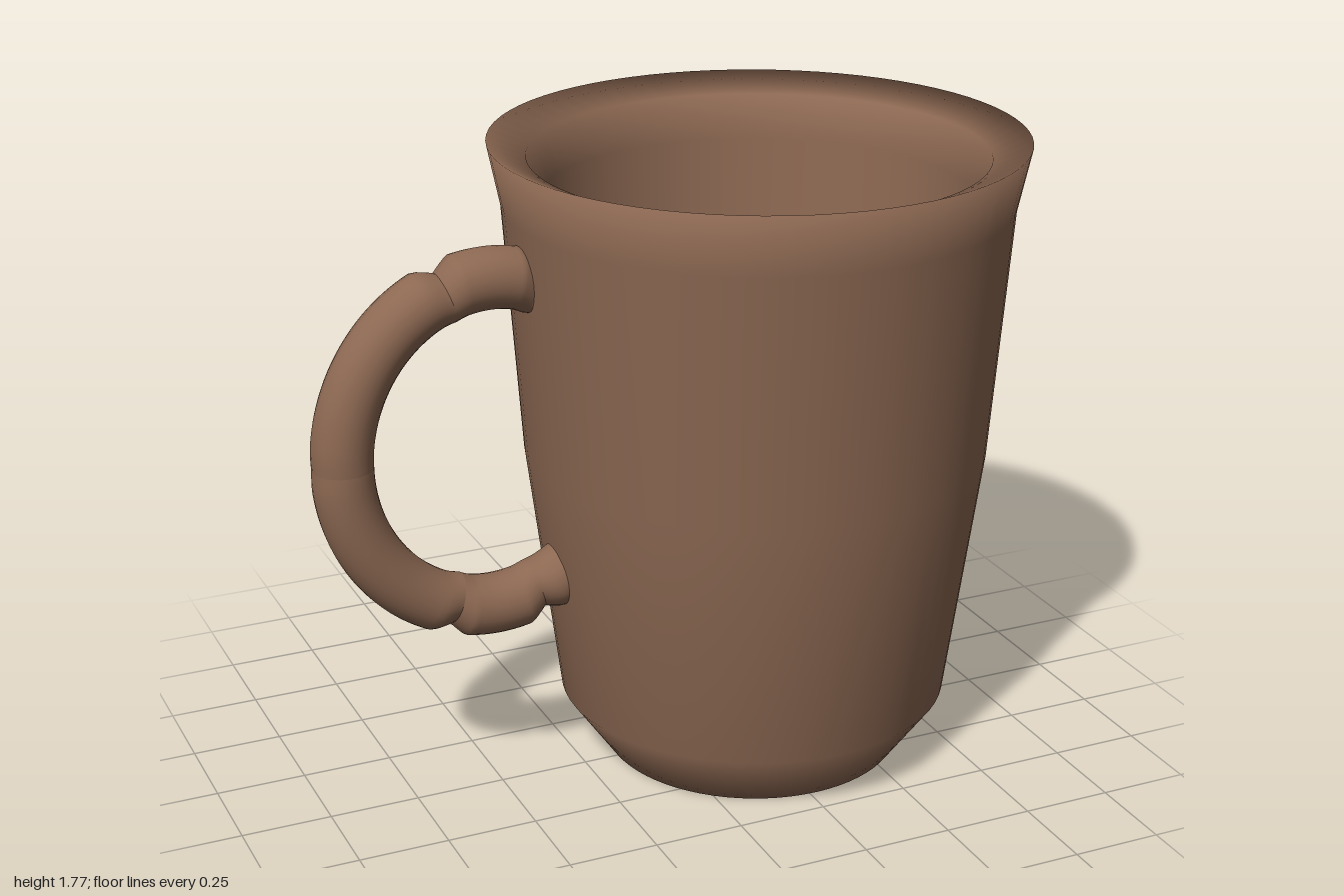
import * as THREE from 'three';

const clay = new THREE.MeshStandardMaterial({ color: 0x8c6852 });
clay.name = 'brown clay';

const CUP_X = 0.27;                  // cup axis
const RING = { x: -0.51, y: 1.015, rx: 0.41, ry: 0.463, tube: 0.083 };

function lathe(name, profile) {
  const points = profile.map(([r, y]) => new THREE.Vector2(r, y));
  const mesh = new THREE.Mesh(new THREE.LatheGeometry(points, 72), clay);
  mesh.name = name;
  mesh.position.x = CUP_X;
  return mesh;
}

// One bead of the ring handle, from angle a to b in degrees. Where a pinch is
// given, that end narrows and leans towards the middle of the ring.
function handleSegment(name, a, b, pinchA, pinchB) {
  const steps = 32, sides = 28;
  const positions = [], index = [];
  for (let i = 0; i <= steps; i++) {
    const deg = a + (b - a) * i / steps;
    const t = THREE.MathUtils.degToRad(deg);
    const near = (end, pinch) => pinch * Math.max(0, 1 - Math.abs(deg - end) / 6);
    const k = near(a, pinchA) + near(b, pinchB);
    const radius = RING.tube * (1 - 0.16 * k);
    const normal = new THREE.Vector2(Math.cos(t) / RING.rx, Math.sin(t) / RING.ry).normalize();
    const cx = RING.x + RING.rx * Math.cos(t) - normal.x * 0.018 * k;
    const cy = RING.y + RING.ry * Math.sin(t) - normal.y * 0.018 * k;
    for (let j = 0; j <= sides; j++) {
      const s = j / sides * Math.PI * 2;
      const out = radius * Math.cos(s);
      positions.push(cx + normal.x * out, cy + normal.y * out, radius * Math.sin(s));
    }
  }
  const row = sides + 1;
  for (let i = 0; i < steps; i++) {
    for (let j = 0; j < sides; j++) {
      const p = i * row + j;
      index.push(p, p + 1, p + row, p + 1, p + row + 1, p + row);
    }
  }
  // turn the faces outward
  for (let i = 0; i < index.length; i += 3) {
    [index[i + 1], index[i + 2]] = [index[i + 2], index[i + 1]];
  }
  const geometry = new THREE.BufferGeometry();
  geometry.setAttribute('position', new THREE.Float32BufferAttribute(positions, 3));
  geometry.setIndex(index);
  geometry.computeVertexNormals();
  const mesh = new THREE.Mesh(geometry, clay);
  mesh.name = name;
  return mesh;
}

export function createModel() {
  const mug = new THREE.Group();
  mug.name = 'mug';

  // Outside wall, sloping lip and inside wall in one smooth shell
  mug.add(lathe('cupShell', [
    [0, 0], [0.42, 0], [0.547, 0.18], [0.64, 0.9], [0.69, 1.6], [0.725, 1.77],
    [0.62, 1.725], [0.59, 1.6], [0.55, 0.9], [0.46, 0.18],
  ]));
  mug.add(lathe('cupFloor', [[0.46, 0.18], [0, 0.18]]));

  // Ring handle passing through the wall, made of pinched segments
  const handle = new THREE.Group();
  handle.name = 'handle';
  const joints = [0, 73, 107, 180, 253, 287, 360];
  const pinch = [0.12, 1, 1, 0.12, 1, 1, 0.12];
  for (let i = 0; i < 6; i++) {
    handle.add(handleSegment(`handleSegment${i + 1}`, joints[i], joints[i + 1], pinch[i], pinch[i + 1]));
  }
  mug.add(handle);
  return mug;
}
